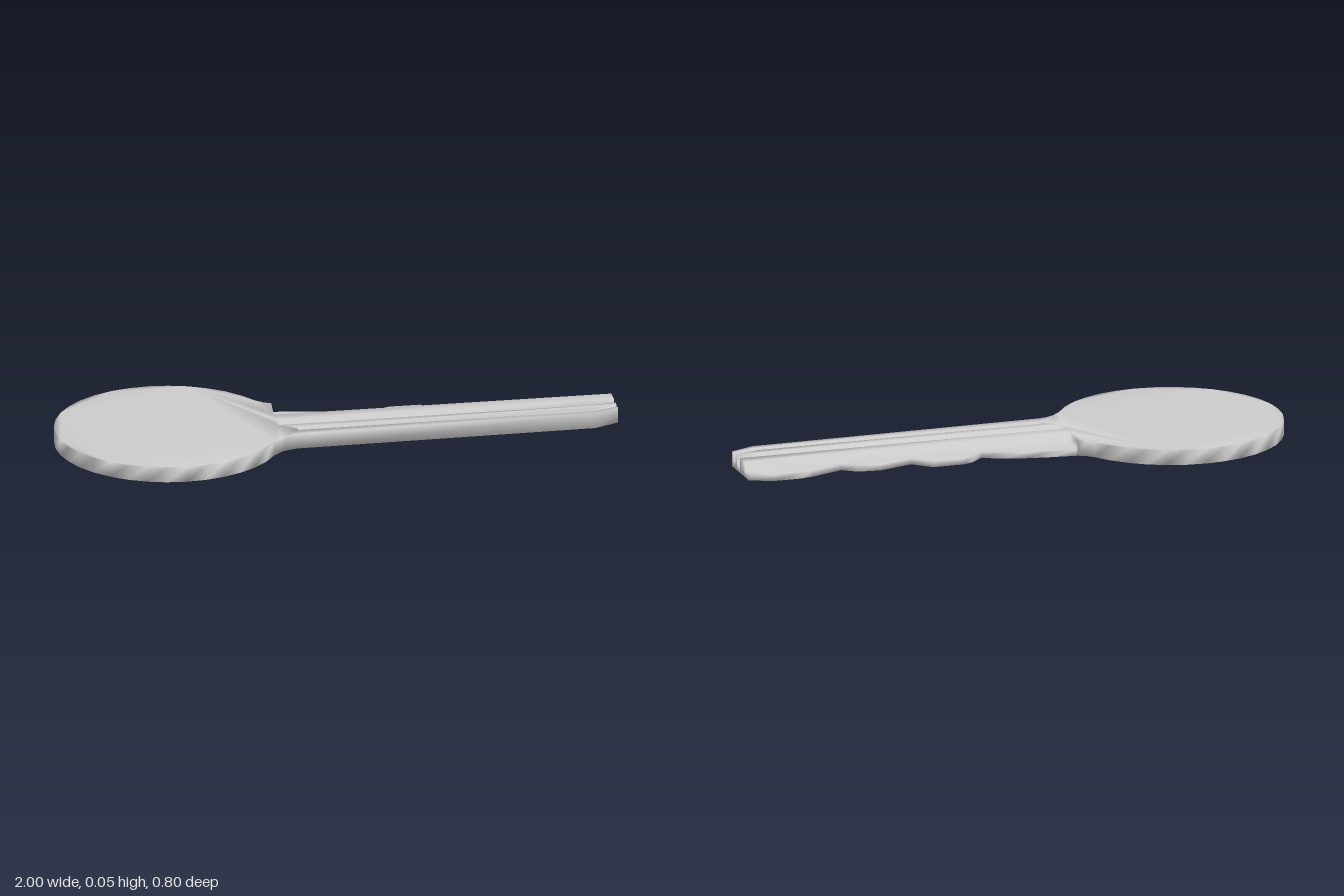
import * as THREE from 'three';
import { mergeVertices } from 'three/addons/utils/BufferGeometryUtils.js';

const H = 0.055; // full thickness
const LOW = 0.022; // thickness at the groove floors and the cut edge

// All paths are [x, z], counterclockwise seen from above.
const cuts = [
  [1, -0.053], [1, -0.1], [0.92, -0.135], [0.82, -0.135], [0.77, -0.125], [0.65, -0.078],
  [0.6, -0.115], [0.52, -0.125], [0.39, -0.085], [0.33, -0.145], [0.22, -0.145], [0.18, -0.13],
  [0.13, -0.085], [0.06, -0.12], [-0.02, -0.14], [-0.1, -0.153], [-0.2, -0.165],
];
const step = [[1, -0.053], [-0.21, -0.053], [-0.2, -0.165]];
const outerGroove = [[1, 0.073], [0.91, 0.105], [-0.15, 0.11], [-0.15, 0.08], [0.91, 0.075], [1, 0.05]];
const innerGroove = [[1, 0.033], [0.91, 0.047], [-0.21, 0.05], [-0.21, 0], [0.91, -0.002], [1, -0.002]];

// Round bow, necks and straight edge of the blade
function bowAndSpine() {
  const path = [[-0.2, -0.165], [-0.225, -0.177]];
  const n = 30;
  for (let i = 0; i <= n; i++) {
    const a = THREE.MathUtils.degToRad(30 + (300 * i) / n);
    path.push([-0.6 + 0.402 * Math.cos(a), -0.402 * Math.sin(a)]);
  }
  path.push([-0.22, 0.17], [-0.195, 0.157], [-0.16, 0.148], [0.91, 0.13], [1, 0.09], [1, 0.073]);
  return path;
}

function createKeyGeometry() {
  const positions = [];
  const vertex = ([x, z], y) => positions.push(x, y, z);

  // Upright wall along an open path
  const wall = (path, y0, y1) => {
    for (let i = 0; i < path.length - 1; i++) {
      const a = path[i], b = path[i + 1];
      vertex(a, y0); vertex(b, y0); vertex(b, y1);
      vertex(a, y0); vertex(b, y1); vertex(a, y1);
    }
  };
  // Flat face filling a closed path
  const cap = (path, y, up = true) => {
    const points = path.map(([x, z]) => new THREE.Vector2(x, -z));
    for (const [a, b, c] of THREE.ShapeUtils.triangulateShape(points, [])) {
      for (const i of up ? [a, b, c] : [a, c, b]) vertex(path[i], y);
    }
  };

  const spine = bowAndSpine();
  const tipInner = [[1, -0.002], [1, -0.053]];
  const tipMiddle = [[1, 0.05], [1, 0.033]];

  // Raised top face, with the grooves notched in from the tip
  cap([...step.slice(0, 2), ...spine, ...outerGroove.slice(1), ...innerGroove], H);
  // Lower faces: cut edge and groove floors
  cap([...cuts, step[1]], LOW);
  cap([...outerGroove].reverse(), LOW);
  cap([...innerGroove].reverse(), LOW);
  // Underside
  cap([...cuts, ...spine.slice(1), ...tipMiddle, tipInner[0]], 0, false);

  // Inner walls
  for (const path of [step, outerGroove, innerGroove]) wall(path, LOW, H);
  // Outer walls
  for (const path of [spine, tipMiddle, tipInner]) wall(path, 0, H);
  wall(cuts, 0, LOW);
  wall([outerGroove[0], outerGroove.at(-1)], 0, LOW);
  wall([innerGroove[0], innerGroove.at(-1)], 0, LOW);

  // Welded corners give soft shading over the edges
  const geometry = new THREE.BufferGeometry();
  geometry.setAttribute('position', new THREE.Float32BufferAttribute(positions, 3));
  const welded = mergeVertices(geometry, 1e-5);
  welded.computeVertexNormals();
  return welded;
}

export function createModel() {
  const model = new THREE.Group();
  model.name = 'key';
  const key = new THREE.Mesh(createKeyGeometry(), new THREE.MeshStandardMaterial({ color: 0xcccccc }));
  key.name = 'bowAndBlade';
  model.add(key);
  return model;
}
